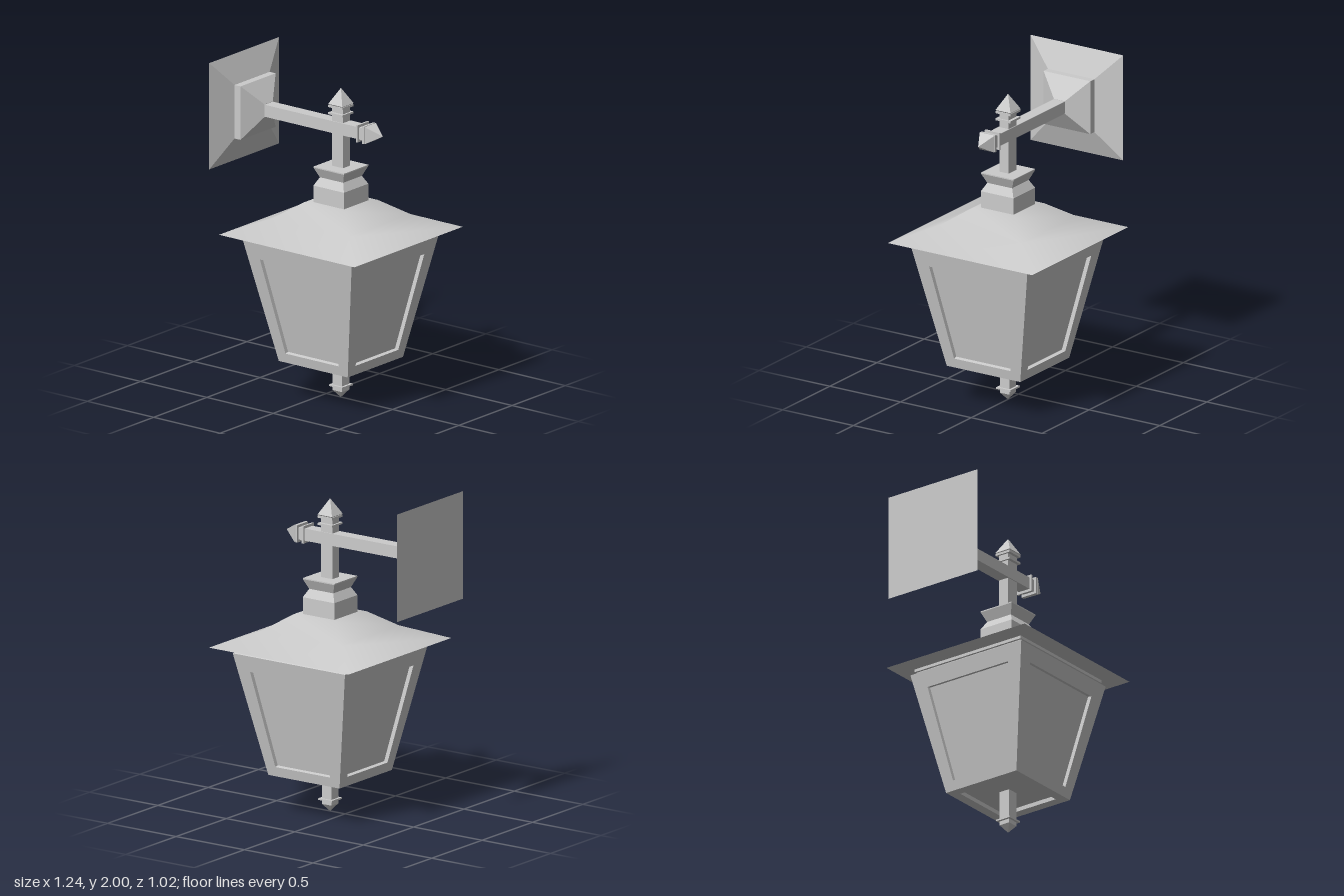
import * as THREE from 'three';
import { toCreasedNormals } from 'three/addons/utils/BufferGeometryUtils.js';

const CX = 0.11;      // lantern axis
const ARM_Y = 1.673;  // height of the wall arm
const material = new THREE.MeshStandardMaterial({ color: 0xcccccc });

function add(parent, name, geometry) {
  const mesh = new THREE.Mesh(geometry, material);
  mesh.name = name;
  parent.add(mesh);
  return mesh;
}

// Square solid from [half width, height] pairs, listed bottom to top and capped at both ends
function squareTurned(profile, crease = 0.3) {
  const first = profile[0], last = profile[profile.length - 1];
  const points = [[0, first[1]], ...profile, [0, last[1]]]
    .map(([half, y]) => new THREE.Vector2(half * Math.SQRT2, y));
  return toCreasedNormals(new THREE.LatheGeometry(points, 4, Math.PI / 4), crease);
}

// Flat frame with a recessed pane; outer and inner corners run counter-clockwise seen from outside
function framedPanel(outer, inner, depth) {
  const [o, i] = [outer, inner].map(list => list.map(p => new THREE.Vector3(...p)));
  const inward = o[1].clone().sub(o[0]).cross(o[3].clone().sub(o[0])).normalize().multiplyScalar(-depth);
  const pane = i.map(p => p.clone().add(inward));
  const positions = [];
  const quad = (a, b, c, d) => [a, b, c, a, c, d].forEach(p => positions.push(p.x, p.y, p.z));
  for (let k = 0; k < 4; k++) {
    const n = (k + 1) % 4;
    quad(o[k], o[n], i[n], i[k]);
    quad(i[k], i[n], pane[n], pane[k]);
  }
  quad(...pane);
  const geometry = new THREE.BufferGeometry();
  geometry.setAttribute('position', new THREE.Float32BufferAttribute(positions, 3));
  geometry.computeVertexNormals();
  return geometry;
}

function createLanternBody() {
  const body = new THREE.Group();
  body.name = 'lanternBody';
  const y0 = 0.24, y1 = 0.99, h0 = 0.26, h1 = 0.41;
  const faceZ = y => h0 + (h1 - h0) * (y - y0) / (y1 - y0);
  const trapezoid = (low, high, bottom, top) => [
    [-bottom, low, faceZ(low)], [bottom, low, faceZ(low)],
    [top, high, faceZ(high)], [-top, high, faceZ(high)]];
  const side = framedPanel(trapezoid(y0, y1, h0, h1), trapezoid(0.3, 0.89, 0.2, 0.298), 0.025);
  for (let k = 0; k < 4; k++) add(body, 'sidePanel', side).rotation.y = k * Math.PI / 2;

  const square = h => [[-h, y0, -h], [h, y0, -h], [h, y0, h], [-h, y0, h]];
  add(body, 'bottomPanel', framedPanel(square(h0), square(0.2), 0.025));
  add(body, 'upperTrim', squareTurned([[h1, y1], [0.385, 1.0], [0.385, 1.008], [0.392, 1.012], [0.392, 1.03]]));
  return body;
}

// Two thin collars and a pyramid tip, rising from y = 0
function createFinial(name) {
  const finial = new THREE.Group();
  finial.name = name;
  add(finial, 'collar', squareTurned([[0.053, 0], [0.053, 0.012]]));
  add(finial, 'tipCollar', squareTurned([[0.053, 0.044], [0.053, 0.058]]));
  add(finial, 'tip', squareTurned([[0.042, 0.05], [0.053, 0.064], [0, 0.16]]));
  return finial;
}

export function createModel() {
  const model = new THREE.Group();
  model.name = 'wallLantern';

  // Lantern hanging from the arm
  const lantern = new THREE.Group();
  lantern.name = 'lantern';
  lantern.position.x = CX;
  model.add(lantern);
  lantern.add(createLanternBody());
  add(lantern, 'roof', squareTurned([[0.51, 1.03], [0.29, 1.12], [0.155, 1.213]], 0.9));
  add(lantern, 'neck', squareTurned([[0.115, 1.2], [0.115, 1.315], [0.088, 1.365], [0.115, 1.425], [0.115, 1.432]]));

  // Pendant below the body
  add(lantern, 'pendantRod', squareTurned([[0.035, 0.05], [0.035, 0.27]]));
  add(lantern, 'pendantCollar', squareTurned([[0.05, 0.075], [0.05, 0.085]]));
  add(lantern, 'pendantTip', squareTurned([[0, 0.005], [0.035, 0.05]]));

  // Upright post with its finial
  add(lantern, 'post', new THREE.BoxGeometry(0.084, 0.38, 0.066)).position.y = 1.615;
  const topFinial = createFinial('topFinial');
  topFinial.position.y = 1.752;
  lantern.add(topFinial);

  // Wall arm, its end finial and the stepped wall plate, all pointing along +x
  const bracket = new THREE.Group();
  bracket.name = 'bracket';
  bracket.position.y = ARM_Y;
  model.add(bracket);
  add(bracket, 'arm', new THREE.BoxGeometry(0.78, 0.074, 0.078)).position.x = -0.07;
  const endFinial = createFinial('endFinial');
  endFinial.position.x = 0.267;
  endFinial.rotation.z = -Math.PI / 2;
  bracket.add(endFinial);
  add(bracket, 'wallPlate', squareTurned([
    [0.328, -0.62], [0.165, -0.56], [0.165, -0.515], [0.039, -0.435]])).rotation.z = -Math.PI / 2;

  return model;
}
